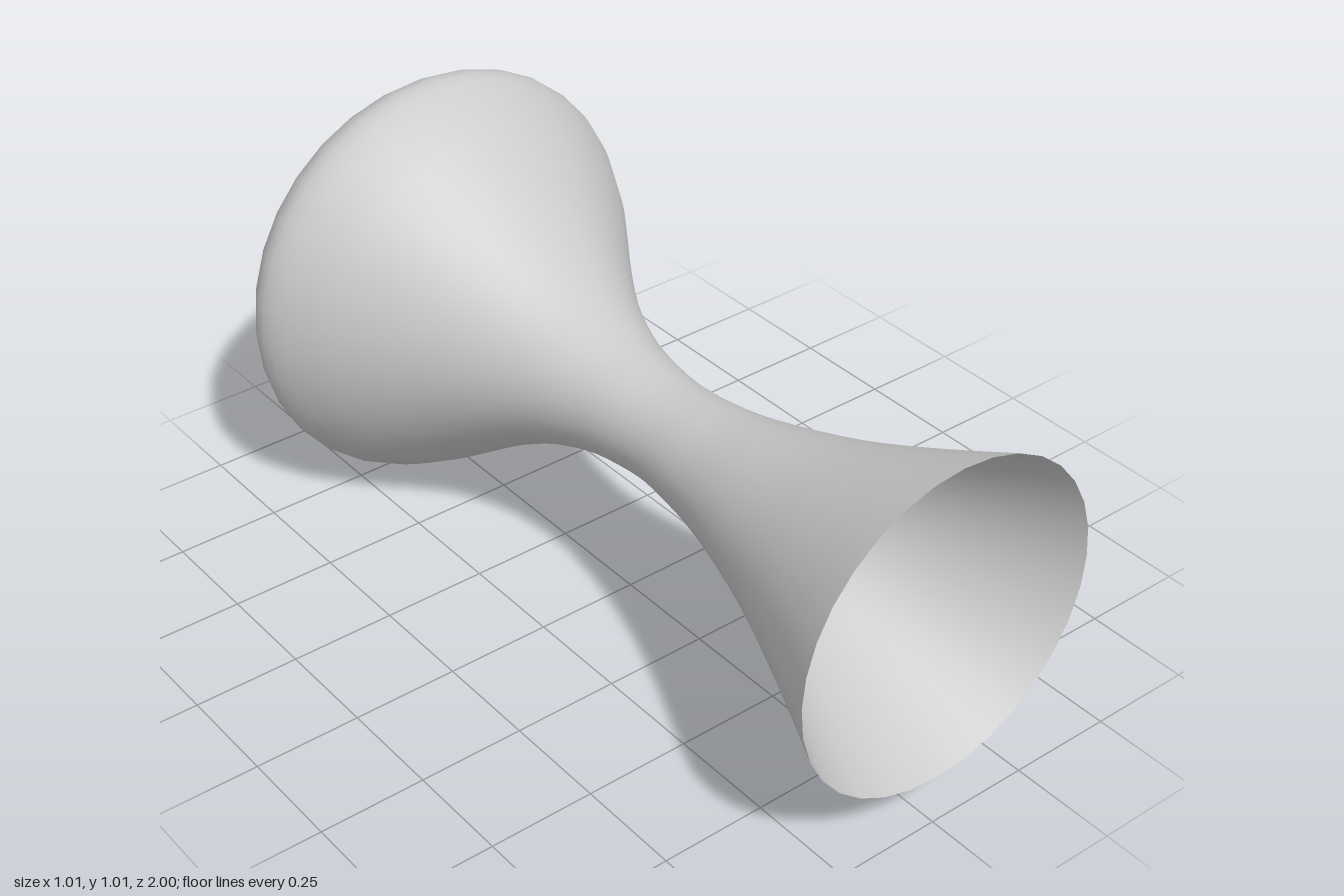
import * as THREE from 'three';

export function createModel() {
  const group = new THREE.Group();
  group.name = 'flaredVessel';

  // Profile from the small back hole, over the bulb and waist, to the open flare: [radius, z]
  const profile = new THREE.SplineCurve([
    [0.08, -1], [0.206, -0.955], [0.333, -0.9], [0.43, -0.835], [0.48, -0.785],
    [0.505, -0.71], [0.455, -0.6], [0.39, -0.5], [0.32, -0.4], [0.255, -0.3],
    [0.2, -0.2], [0.16, -0.1], [0.134, 0], [0.12, 0.14], [0.131, 0.27],
    [0.156, 0.4], [0.215, 0.6], [0.294, 0.8], [0.383, 1],
  ].map(([r, z]) => new THREE.Vector2(r, z)));

  // Thin open shell turned about the z axis
  const geometry = new THREE.LatheGeometry(profile.getPoints(72), 32);
  geometry.rotateX(Math.PI / 2);
  const shell = new THREE.Mesh(
    geometry,
    new THREE.MeshStandardMaterial({ color: 0xcccccc, side: THREE.DoubleSide }),
  );
  shell.name = 'shell';
  shell.position.y = 0.505;
  group.add(shell);

  return group;
}
